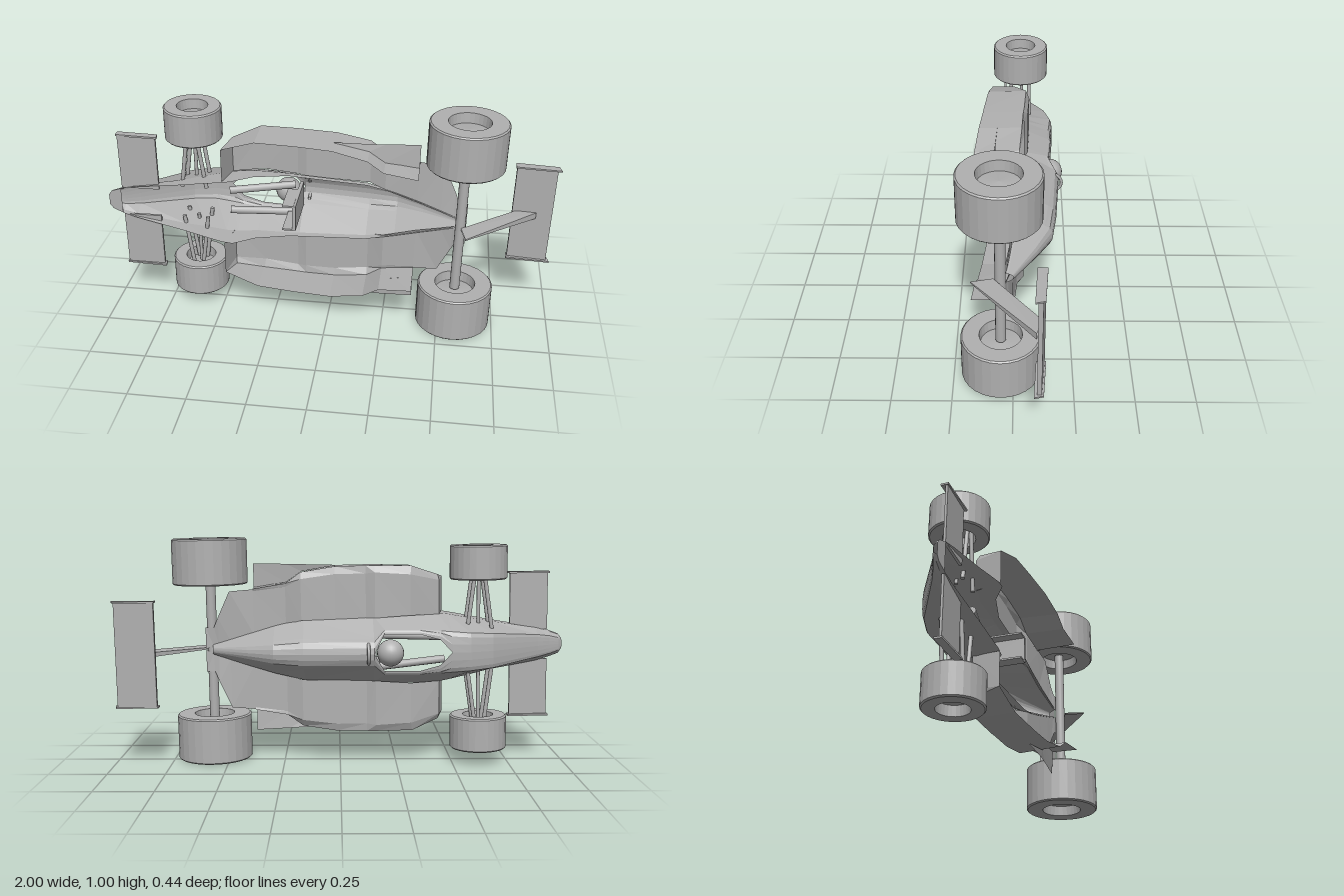
import * as THREE from 'three';

const grey = new THREE.MeshStandardMaterial({ color: 0xb0b0b0, side: THREE.DoubleSide });
grey.name = 'grey';

// The car lies on its side: x runs nose to tail, y is its width, -z is its upper side.
export function createModel() {
  const root = new THREE.Group();
  root.name = 'racingCar';
  const car = new THREE.Group();
  car.name = 'car';
  car.position.y = 0.509;
  car.rotation.z = -0.015;
  root.add(car);

  const add = (name, geo) => {
    const m = new THREE.Mesh(geo, grey);
    m.name = name;
    car.add(m);
    return m;
  };
  // Faceted skin between cross-sections of [x, y, z] points, on side s
  const loft = (name, rows, s) => {
    const p = [];
    const put = (...pts) => pts.forEach(([x, y, z]) => p.push(x, y * s, z));
    for (let i = 0; i + 1 < rows.length; i++) {
      for (let j = 0; j + 1 < rows[i].length; j++) {
        const a = rows[i][j], b = rows[i + 1][j], c = rows[i + 1][j + 1], d = rows[i][j + 1];
        if (s > 0) put(a, b, c, a, c, d);
        else put(a, c, b, a, d, c);
      }
    }
    const g = new THREE.BufferGeometry();
    g.setAttribute('position', new THREE.Float32BufferAttribute(p, 3));
    g.computeVertexNormals();
    return add(name, g);
  };
  const rod = (name, a, b, r, sides = 10) => {
    const A = new THREE.Vector3(...a), B = new THREE.Vector3(...b);
    const m = add(name, new THREE.CylinderGeometry(r, r, A.distanceTo(B), sides));
    m.position.copy(A).add(B).multiplyScalar(0.5);
    m.quaternion.setFromUnitVectors(new THREE.Vector3(0, 1, 0), B.sub(A).normalize());
    return m;
  };
  // Side outline [x, z] given a width along y
  const plate = (name, pts, y, width) => {
    const shape = new THREE.Shape(pts.map(([x, z]) => new THREE.Vector2(x, z)));
    const g = new THREE.ExtrudeGeometry(shape, { depth: width, bevelEnabled: false });
    g.rotateX(Math.PI / 2);
    // Rotation sends depth to -y and the outline to z
    g.translate(0, y + width / 2, 0);
    return add(name, g);
  };

  // Body half-sections: x, then edge, shoulder, waist and hem as y, z
  const body = [
    [-1.0, 0, 0.045, 0.015, 0.046, 0.022, 0.052, 0.025, 0.058],
    [-0.985, 0, 0.034, 0.028, 0.036, 0.042, 0.048, 0.045, 0.059],
    [-0.94, 0, 0.014, 0.04, 0.018, 0.058, 0.044, 0.062, 0.063],
    [-0.88, 0, -0.018, 0.05, -0.012, 0.074, 0.04, 0.078, 0.068],
    [-0.66, 0, -0.15, 0.075, -0.14, 0.112, 0.03, 0.115, 0.087],
    [-0.56, 0, -0.18, 0.082, -0.168, 0.132, 0.01, 0.135, 0.096],
    [-0.48, 0, -0.178, 0.088, -0.162, 0.148, 0.0, 0.15, 0.103],
    [-0.43, 0.055, -0.172, 0.092, -0.157, 0.155, -0.01, 0.157, 0.1],
    [-0.34, 0.08, -0.167, 0.1, -0.152, 0.155, -0.03, 0.157, 0.04],
    [-0.19, 0.08, -0.155, 0.1, -0.14, 0.153, -0.03, 0.155, 0.0],
    [-0.145, 0.0, -0.202, 0.065, -0.16, 0.15, -0.03, 0.152, 0.0],
    [0.16, 0, -0.182, 0.065, -0.145, 0.135, -0.03, 0.137, 0.0],
    [0.29, 0, -0.165, 0.052, -0.13, 0.105, -0.02, 0.108, 0.0],
    [0.41, 0, -0.1, 0.034, -0.075, 0.07, -0.005, 0.072, 0.01],
    [0.57, 0, 0.0, 0.012, 0.005, 0.02, 0.02, 0.022, 0.03],
  ].map(([x, ...v]) => {
    const [edge, ...rest] = [0, 2, 4, 6].map(i => [x, v[i], v[i + 1]]);
    // Rounds the crown between edge and shoulder
    const mid = (t, k) => [x, edge[1] + (rest[0][1] - edge[1]) * t, edge[2] + (rest[0][2] - edge[2]) * k];
    return [edge, mid(0.4, 0.1), mid(0.78, 0.4), ...rest];
  });

  // Side pod half-sections: inner top, outer top, wall top and skirt hem
  const pod = [
    [[-0.44, 0.15, -0.02], [-0.44, 0.3, -0.015], [-0.435, 0.325, 0], [-0.465, 0.31, 0.105]],
    [[-0.31, 0.15, -0.065], [-0.31, 0.33, -0.065], [-0.315, 0.367, -0.05], [-0.315, 0.362, 0.12]],
    [[-0.155, 0.14, -0.058], [-0.155, 0.34, -0.057], [-0.155, 0.37, -0.042], [-0.155, 0.366, 0.135]],
    [[-0.115, 0.14, -0.042], [-0.115, 0.335, -0.042], [-0.115, 0.37, -0.038], [-0.115, 0.366, 0.138]],
    [[0.02, 0.136, -0.042], [0.02, 0.335, -0.042], [0.02, 0.368, -0.032], [0.02, 0.364, 0.151]],
    [[0.17, 0.132, -0.042], [0.17, 0.315, -0.042], [0.17, 0.345, -0.022], [0.17, 0.335, 0.165]],
    [[0.24, 0.115, -0.01], [0.24, 0.28, -0.012], [0.24, 0.295, -0.015], [0.24, 0.29, 0.172]],
    [[0.385, 0.07, 0.0], [0.385, 0.262, 0.0], [0.385, 0.272, -0.004], [0.385, 0.275, 0.185]],
  ];

  // Tyre with a dished rim on both faces; r radius, w width, h rim radius
  const wheel = (name, x, y, z, r, w, h) => {
    const b = 0.006, k = w / 2, f = k - 0.045;
    const pts = [[0, -f - 0.01], [h * 0.95, -f], [h, -k], [r - b, -k], [r, -k + b],
      [r, k - b], [r - b, k], [h, k], [h * 0.95, f], [0, f + 0.01]];
    const g = new THREE.LatheGeometry(pts.map(p => new THREE.Vector2(...p)), 28).toNonIndexed();
    g.computeVertexNormals();
    add(name, g).position.set(x, y, z);
  };

  for (const s of [1, -1]) {
    loft('bodyShell', body, s);
    loft('noseFloor', [0, 1, 2].map(i => {
      const hem = body[i][body[i].length - 1];
      return [[hem[0], 0, hem[2]], hem];
    }), s);
    loft('sidePod', pod, s);
    loft('sidePodFront', [pod[0].slice(0, 3),
      [[-0.465, 0.157, 0.105], [-0.465, 0.29, 0.105], [-0.465, 0.31, 0.105]]], s);
    // Flat leaf-shaped fin outside the narrowing skirt
    loft('skirtFin', [
      [[0.02, 0.366, 0.072], [0.02, 0.369, 0.072]],
      [[0.17, 0.342, 0.082], [0.17, 0.374, 0.076]],
      [[0.24, 0.294, 0.08], [0.24, 0.377, 0.073]],
      [[0.385, 0.274, 0.068], [0.385, 0.38, 0.062]]], s);
    loft('tailDeck', [
      [[0.385, 0.07, 0.0], [0.385, 0.27, 0.0]],
      [[0.49, 0.04, 0.015], [0.49, 0.262, 0.005]],
      [[0.545, 0.022, 0.025], [0.545, 0.145, 0.015]],
      [[0.57, 0.02, 0.03], [0.565, 0.1, 0.025]],
      [[0.603, 0.0, 0.03], [0.603, 0.1, 0.03]]], s);
    wheel('frontWheel', -0.612, s * 0.378, -0.024, 0.126, 0.15, 0.068);
    wheel('rearWheel', 0.577, s * 0.395, 0.052, 0.167, 0.203, 0.09);

    // Two wishbones and a track rod
    for (const z of [-0.065, 0.02]) {
      for (const dx of [-0.055, 0.055]) {
        rod('wishbone', [-0.612 + dx, s * 0.075, z], [-0.612 + dx * 0.35, s * 0.34, z], 0.009);
      }
    }
    rod('trackRod', [-0.612, s * 0.09, -0.03], [-0.612, s * 0.34, -0.03], 0.008);

    // Front wing half with its end plate
    plate('frontWing', [[-0.935, 0.05], [-0.765, 0.045], [-0.765, 0.057], [-0.935, 0.06]], s * 0.195, 0.255);
    plate('frontEndPlate', [[-0.94, 0.032], [-0.76, 0.035], [-0.755, 0.068], [-0.94, 0.064]], s * 0.325, 0.008);
    plate('rearEndPlate', [[0.8, -0.13], [0.985, -0.118], [0.995, -0.08], [0.8, -0.09]], s * 0.231, 0.007);

    // Cockpit rails and seat sides
    rod('cockpitRail', [-0.46, s * 0.05, -0.02], [-0.17, s * 0.07, -0.085], 0.017);
    add('seatSide', new THREE.BoxGeometry(0.05, 0.008, 0.16)).position.set(-0.175, s * 0.058, 0.025);
  }

  // Rear axle, wing and its strut, which widens toward the wing
  rod('rearAxle', [0.577, -0.32, 0.052], [0.577, 0.32, 0.052], 0.022, 16);
  plate('rearWing', [[0.805, -0.124], [0.98, -0.11], [0.98, -0.092], [0.805, -0.104]], 0, 0.46);
  for (const s of [1, -1]) {
    loft('wingStrut', [
      [[0.58, 0, 0.08], [0.58, 0.004, 0.08], [0.6, 0.003, 0.17], [0.6, 0, 0.17]],
      [[0.82, 0, -0.105], [0.82, 0.01, -0.105], [0.91, 0.015, -0.09], [0.91, 0, -0.09]]], s);
  }

  // Cockpit
  add('seatBack', new THREE.BoxGeometry(0.015, 0.12, 0.24)).position.set(-0.148, 0, -0.015);
  add('helmet', new THREE.SphereGeometry(0.058, 24, 16)).position.set(-0.215, 0, -0.161);
  const barGeometry = new THREE.TorusGeometry(0.045, 0.007, 8, 20, Math.PI);
  barGeometry.rotateX(-Math.PI / 2).rotateZ(Math.PI / 2);
  add('rollBar', barGeometry).position.set(-0.12, 0, -0.168);
  return root;
}
